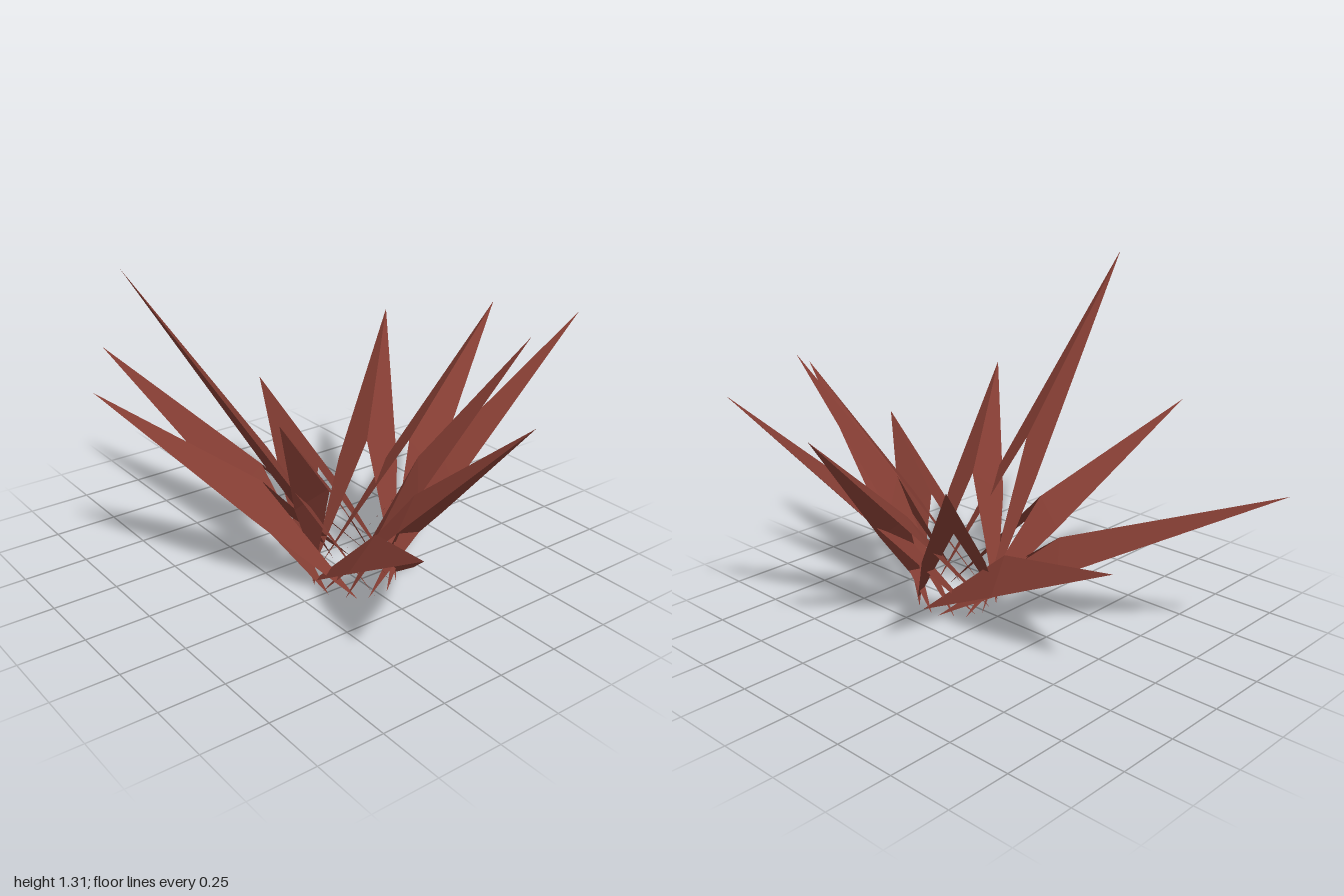
import * as THREE from 'three';

// Centre of the rosette and radius of the ring where the leaves touch the ground
const CENTRE_X = 0.22;
const BASE_RADIUS = 0.16;
const HALF_WIDTH = 0.115;

// Leaf tips: x, y, z
const TIPS = [
  [0.06, 0.89, -0.82], [0.495, 0.96, -0.825], [0.67, 1.0, -0.39],
  [1, 0.86, -0.08], [1, 0.55, 0.36], [0.48, 0.84, 0.51],
  [0.095, 1.31, 0.825], [-0.28, 0.77, 0.77], [-1, 0.65, 0.375],
  [-0.715, 0.47, -0.215], [-0.385, 0.78, -0.64],
];

// A folded leaf: two long kite-shaped halves that share a raised ridge
// and taper to separate feet on either side of the centre
function leafGeometry([tx, ty, tz]) {
  const reach = Math.hypot(tx - CENTRE_X, tz);
  const dx = (tx - CENTRE_X) / reach;
  const dz = tz / reach;
  const length = Math.hypot(reach, ty);
  const cos = reach / length;
  const sin = ty / length;
  // up = distance along the leaf, lift = height above its plane, side = distance across
  const point = (up, lift, side) => {
    const out = up * cos - lift * sin;
    return [
      CENTRE_X + dx * out - dz * side, up * sin + lift * cos, dz * out + dx * side,
    ];
  };

  const widest = 0.25 + 0.2 * length;
  const tip = point(length, 0, 0);
  const ridge = point(widest + 0.03 + 0.2 * (ty - 0.75), 0.19 - 0.12 * ty, 0);
  const corners = [];
  for (const s of [-1, 1]) {
    const edge = point(widest, 0, s * HALF_WIDTH);
    const foot = point(0, 0, s * BASE_RADIUS);
    const faces = [[tip, edge, ridge], [ridge, edge, foot]];
    for (const f of faces) corners.push(...(s < 0 ? f.reverse() : f));
  }

  const geometry = new THREE.BufferGeometry();
  geometry.setAttribute('position', new THREE.Float32BufferAttribute(corners.flat(), 3));
  geometry.computeVertexNormals();
  return geometry;
}

export function createModel() {
  const model = new THREE.Group();
  model.name = 'spikyPlant';
  const material = new THREE.MeshStandardMaterial({
    color: 0x843d33, flatShading: true, side: THREE.DoubleSide,
  });

  // Ring of leaves
  TIPS.forEach((tip, i) => {
    const leaf = new THREE.Mesh(leafGeometry(tip), material);
    leaf.name = `leaf${i + 1}`;
    model.add(leaf);
  });
  return model;
}
